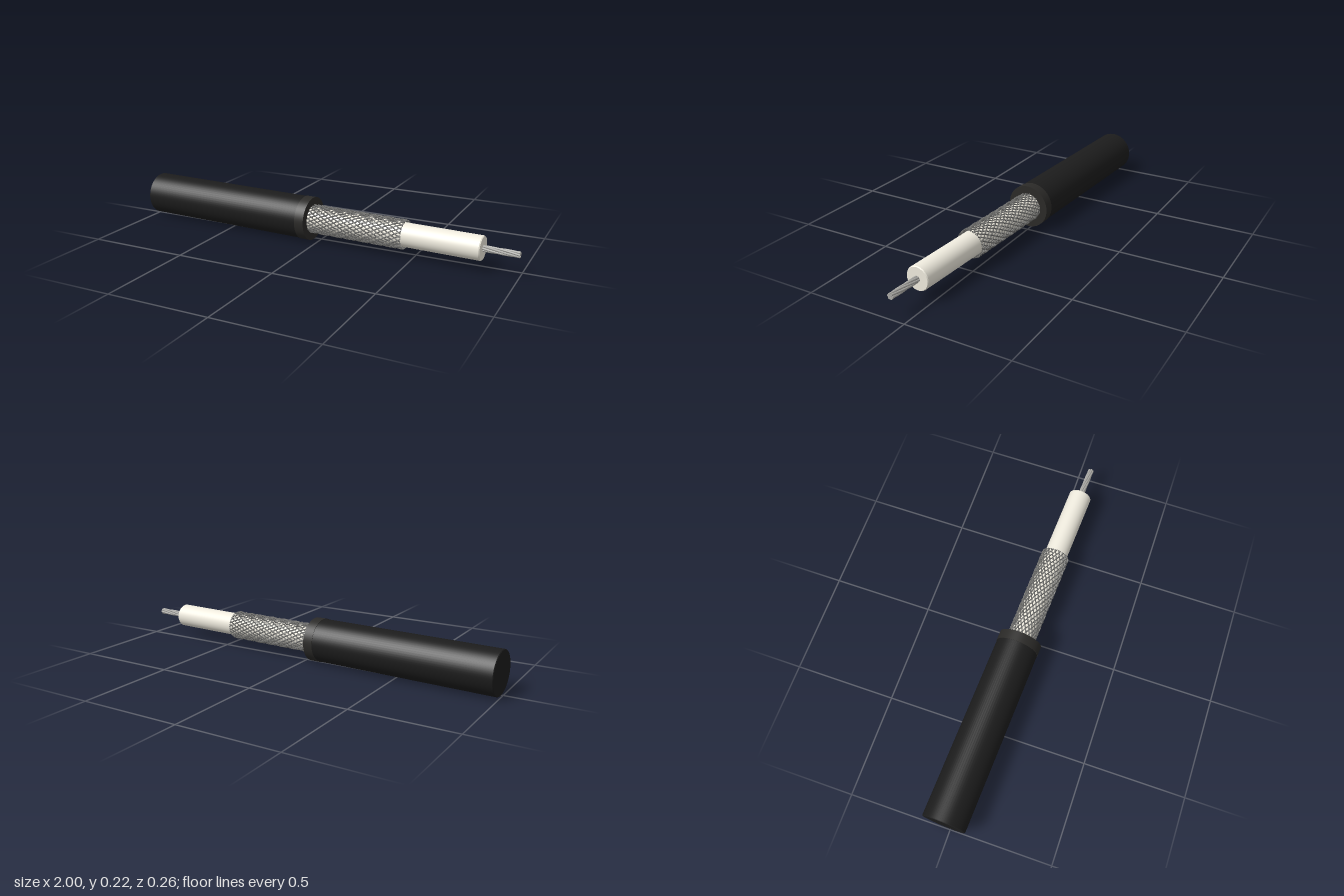
import * as THREE from 'three';
import { mergeGeometries } from 'three/addons/utils/BufferGeometryUtils.js';

const mat = (color) => new THREE.MeshStandardMaterial({ color });

// Solid of revolution along +x; each profile segment keeps its own normals so edges stay crisp.
function turned(name, profile, material, sides = 64) {
  const parts = [];
  for (let i = 0; i < profile.length - 1; i++) {
    const pts = [profile[i], profile[i + 1]].map(([x, r]) => new THREE.Vector2(r, x));
    parts.push(new THREE.LatheGeometry(pts, sides));
  }
  const geo = mergeGeometries(parts);
  geo.rotateZ(-Math.PI / 2);
  const mesh = new THREE.Mesh(geo, material);
  mesh.name = name;
  return mesh;
}

// Wire wound around the x axis, with an optional in-and-out weave.
function helix(x0, x1, radius, start, turns, wire, steps, sides, weave = () => 0) {
  const pts = [];
  for (let i = 0; i <= steps; i++) {
    const t = i / steps;
    const a = start + turns * t * Math.PI * 2;
    const r = radius + weave(t);
    pts.push(new THREE.Vector3(x0 + (x1 - x0) * t, r * Math.cos(a), r * Math.sin(a)));
  }
  return new THREE.TubeGeometry(new THREE.CatmullRomCurve3(pts), steps, wire, sides, false);
}

export function createModel() {
  const model = new THREE.Group();
  model.name = 'strippedCable';

  const black = mat(0x1c1c1c);
  const collarBlack = mat(0x2b2a28);
  const cream = mat(0xf0ecdf);
  const shieldGrey = mat(0x70706e);
  const wireGrey = mat(0xaaa9a5);

  // Outer jacket and the slightly wider collar at its cut end
  model.add(turned('jacket',
    [[-0.996, 0], [-0.996, 0.103], [-0.993, 0.106], [-0.05, 0.106], [-0.05, 0]], black));
  model.add(turned('jacketCollar',
    [[-0.085, 0.104], [-0.085, 0.108], [-0.036, 0.108], [-0.036, 0.07], [-0.05, 0.07], [-0.05, 0]], collarBlack));

  // Inner insulator, running under the braid back into the jacket
  model.add(turned('insulator',
    [[-0.06, 0], [-0.06, 0.058], [0.826, 0.058], [0.831, 0.055], [0.831, 0]], cream));

  // Braided shield: two sets of opposing helices woven over and under each other
  const carriers = 22, turns = 0.65, x0 = -0.05, x1 = 0.458;
  const strands = [];
  for (const dir of [1, -1]) {
    for (let i = 0; i < carriers; i++) {
      const weave = (t) =>
        0.0025 * dir * Math.cos(Math.PI * (2 * turns * t * carriers + dir * i));
      strands.push(helix(x0, x1, 0.0675, (i / carriers) * Math.PI * 2, dir * turns, 0.0032, 90, 5, weave));
    }
  }
  const braid = new THREE.Mesh(mergeGeometries(strands), shieldGrey);
  braid.material.side = THREE.DoubleSide;
  braid.name = 'braidedShield';
  model.add(braid);

  // Stranded conductor: one core wire with six twisted around it
  const conductor = new THREE.Group();
  conductor.name = 'conductor';
  for (let i = 0; i < 7; i++) {
    const r = i === 0 ? 0 : 0.0105;
    const geo = helix(0.81, 0.999, r, (i * Math.PI) / 3, 0.4, 0.0054, 24, 10);
    const strand = new THREE.Mesh(geo, wireGrey);
    strand.name = 'conductorStrand';
    conductor.add(strand);

    // Cut end of the strand
    const a = (i * Math.PI) / 3 + 0.8 * Math.PI;
    const cap = new THREE.Mesh(new THREE.CircleGeometry(0.0054, 10), wireGrey);
    cap.name = 'strandEnd';
    cap.rotation.y = Math.PI / 2;
    cap.position.set(0.999, r * Math.cos(a), r * Math.sin(a));
    conductor.add(cap);
  }
  model.add(conductor);

  // The cable lies at a slight angle on the ground
  model.rotation.y = -0.044;
  model.position.set(0, 0.108, 0.019);
  const root = new THREE.Group();
  root.name = 'cable';
  root.add(model);
  return root;
}
